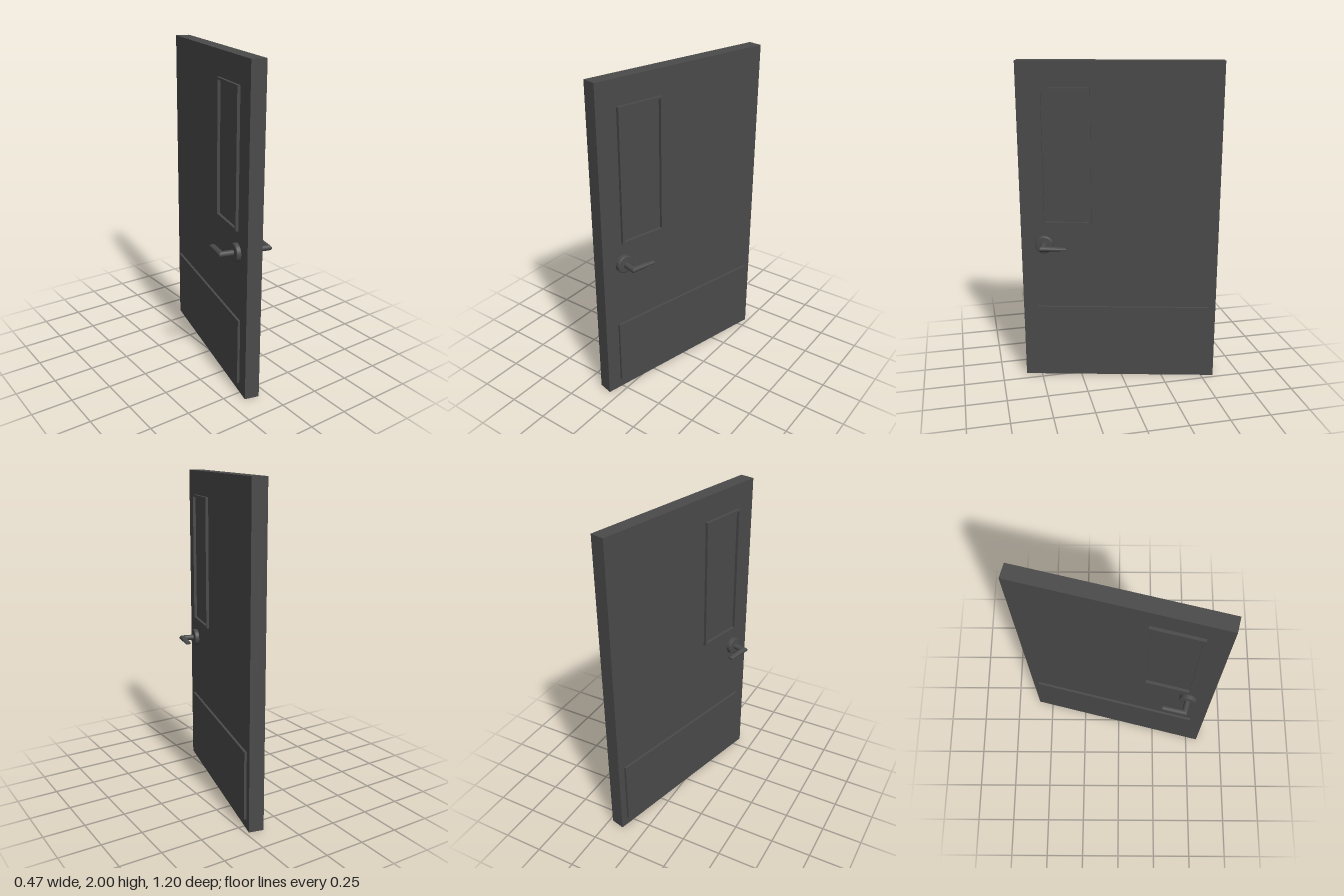
import * as THREE from 'three';

const HALF = 0.045; // half the slab thickness

export function createModel() {
  const darkGrey = new THREE.MeshStandardMaterial({ color: 0x4a4a4a });
  const model = new THREE.Group();
  model.name = 'door';

  const add = (parent, name, geometry) => {
    const mesh = new THREE.Mesh(geometry, darkGrey);
    mesh.name = name;
    parent.add(mesh);
    return mesh;
  };
  // Box given by its limits in x, y and z
  const box = (parent, name, x0, x1, y0, y1, z0, z1) =>
    add(parent, name, new THREE.BoxGeometry(x1 - x0, y1 - y0, z1 - z0))
      .position.set((x0 + x1) / 2, (y0 + y1) / 2, (z0 + z1) / 2);

  // Slab
  box(model, 'slab', -HALF, HALF, 0, 2, -0.605, 0.605);

  // Round bar whose vertices are placed by a rule: u, v across, end true at the far end
  const bar = (rule) => {
    const g = new THREE.CylinderGeometry(1, 1, 1, 24);
    const p = g.attributes.position;
    for (let i = 0; i < p.count; i++) p.setXYZ(i, ...rule(p.getX(i), p.getZ(i), p.getY(i) > 0));
    g.computeVertexNormals();
    return g;
  };

  // Lever handle with a mitred elbow, pointing away from the latch edge
  const makeHandle = () => {
    const handle = new THREE.Group();
    handle.name = 'handle';
    const r = 0.018, reach = 0.145;
    const rose = new THREE.LatheGeometry([
      [0.055, 0], [0.055, 0.021], [0.053, 0.025], [0.047, 0.027], [0, 0.029],
    ].map(([x, y]) => new THREE.Vector2(x, y)), 32);
    rose.rotateZ(-Math.PI / 2).translate(HALF, 0, 0);
    add(handle, 'rose', rose);
    add(handle, 'spindle', bar((u, v, end) => [end ? reach + r * u : HALF, r * v, r * u]));
    add(handle, 'lever', bar((u, v, end) =>
      [reach + r * u, (end ? 0.45 : 1) * r * v, end ? -0.142 : r * u]));
    handle.position.set(0, 0.895, 0.463);
    return handle;
  };

  // Fittings on both faces
  for (const s of [1, -1]) {
    const side = new THREE.Group();
    side.name = s > 0 ? 'leftFittings' : 'rightFittings';
    model.add(side);
    const plate = (name, depth, y0, y1, z0, z1) =>
      box(side, name, Math.min(s * HALF, s * (HALF + depth)),
        Math.max(s * HALF, s * (HALF + depth)), y0, y1, z0, z1);

    plate('kickPlate', 0.015, 0.06, 0.48, -0.56, 0.517);

    // Window frame
    const y0 = 1.025, y1 = 1.848, z0 = 0.172, z1 = 0.472, w = 0.013;
    plate('frameTop', 0.018, y1 - w, y1, z0, z1);
    plate('frameBottom', 0.018, y0, y0 + w, z0, z1);
    plate('frameHingeSide', 0.018, y0 + w, y1 - w, z0, z0 + w);
    plate('frameLatchSide', 0.018, y0 + w, y1 - w, z1 - w, z1);

    const handle = makeHandle();
    if (s < 0) handle.rotation.z = Math.PI;
    side.add(handle);
  }

  // The door stands at a slight angle
  model.rotation.y = -0.2425;
  model.position.x = 0.04;
  const root = new THREE.Group();
  root.add(model);
  return root;
}
